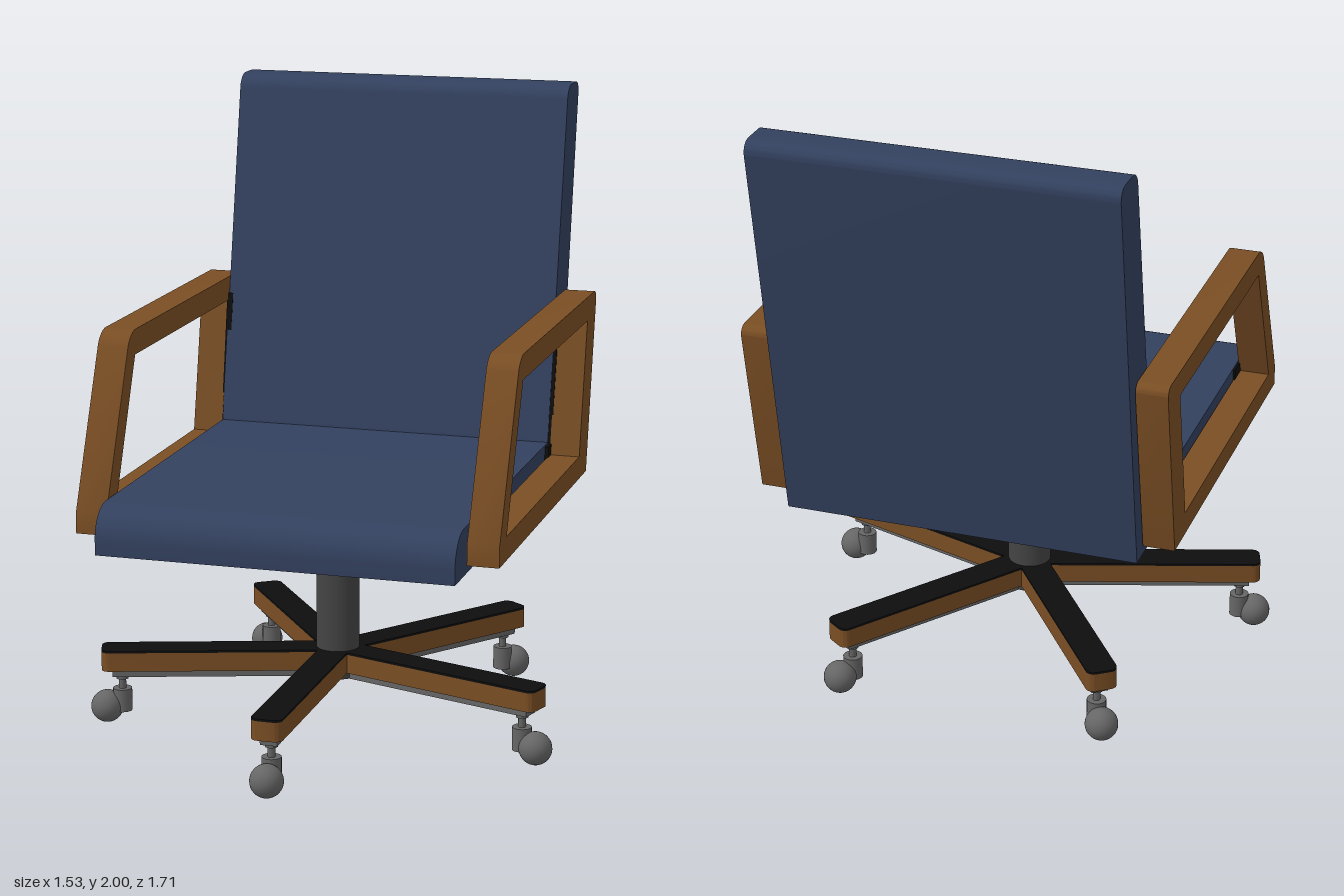
import * as THREE from 'three';
import { toCreasedNormals } from 'three/addons/utils/BufferGeometryUtils.js';

const mat = (name, color) => {
  const m = new THREE.MeshStandardMaterial({ color });
  m.name = name;
  return m;
};

// Closed outline from [u, v, cornerRadius] points
function outline(points, Type = THREE.Shape) {
  const shape = new Type();
  const v = points.map(([x, y]) => new THREE.Vector2(x, y));
  points.forEach(([x, y, r = 0], i) => {
    const toward = (q) => q.clone().sub(v[i]).setLength(r).add(v[i]);
    const a = toward(v[(i + v.length - 1) % v.length]);
    const b = toward(v[(i + 1) % v.length]);
    if (i === 0) shape.moveTo(a.x, a.y);
    else shape.lineTo(a.x, a.y);
    if (r > 0) {
      // Cubic handles give a near-circular corner
      const c1 = a.clone().lerp(v[i], 0.55), c2 = b.clone().lerp(v[i], 0.55);
      shape.bezierCurveTo(c1.x, c1.y, c2.x, c2.y, b.x, b.y);
    }
  });
  shape.closePath();
  return shape;
}

const extrude = (shape, depth) =>
  new THREE.ExtrudeGeometry(shape, { depth, bevelEnabled: false, curveSegments: 10 });

// Extrudes a (z, y) side profile across x, centred on x = 0
function sideProfile(shape, width) {
  const g = extrude(shape, width);
  g.translate(0, 0, -width / 2).rotateY(-Math.PI / 2);
  return toCreasedNormals(g, 0.6);
}

// Extrudes an (x, z) plan between two heights
function plan(shape, y0, y1) {
  const g = extrude(shape, y1 - y0);
  g.rotateX(Math.PI / 2).translate(0, y1, 0);
  return toCreasedNormals(g, 0.6);
}

export function createModel() {
  const blue = mat('blue upholstery', 0x33415f);
  const wood = mat('brown wood', 0x7a4e24);
  const black = mat('black', 0x0e0e0e);
  const darkGrey = mat('dark grey metal', 0x444444);
  const grey = mat('caster grey', 0x666666);

  const model = new THREE.Group();
  model.name = 'officeChair';
  const add = (parent, name, geometry, material, x = 0, y = 0, z = 0) => {
    const mesh = new THREE.Mesh(geometry, material);
    mesh.name = name;
    mesh.position.set(x, y, z);
    parent.add(mesh);
    return mesh;
  };

  // Seat and backrest in one bent cushion
  const cushion = outline([
    [0.738, 0.697], [0.738, 0.845, 0.1], [-0.47, 0.845],
    [-0.694, 2, 0.045], [-0.857, 2, 0.045], [-0.627, 0.697],
  ]);
  add(model, 'seatAndBack', sideProfile(cushion, 1.135), blue, -0.003);

  // Armrest frames with spacers against the cushion
  const frame = outline([
    [0.632, 0.73], [0.632, 0.795], [0.4, 1.325, 0.05], [-0.692, 1.325, 0.035], [-0.575, 0.73],
  ]);
  frame.holes.push(outline([
    [0.545, 0.805], [-0.465, 0.805], [-0.555, 1.245], [0.357, 1.245],
  ], THREE.Path));
  const frontSpacer = outline([[0.58, 0.76], [0.47, 0.76], [0.47, 0.84], [0.55, 0.84]]);
  const rearSpacer = outline([
    [-0.43, 0.76], [-0.56, 0.76], [-0.62, 1.27], [-0.55, 1.27], [-0.475, 0.84], [-0.43, 0.84],
  ]);
  for (const side of [1, -1]) {
    const arm = new THREE.Group();
    arm.name = side > 0 ? 'leftArmrest' : 'rightArmrest';
    add(arm, 'armFrame', sideProfile(frame, 0.1), wood, side * 0.623);
    add(arm, 'frontSpacer', sideProfile(frontSpacer, 0.02), black, side * 0.567);
    add(arm, 'rearSpacer', sideProfile(rearSpacer, 0.02), black, side * 0.567);
    model.add(arm);
  }

  // Pedestal and its tapered mounting plate
  const base = new THREE.Group();
  base.name = 'base';
  base.position.z = 0.06;
  model.add(base);
  let plate = new THREE.CylinderGeometry(Math.SQRT1_2, Math.SQRT1_2 * 0.66, 0.045, 4);
  plate = plate.rotateY(Math.PI / 4).scale(0.455, 1, 0.585).toNonIndexed();
  plate.computeVertexNormals();
  add(base, 'mountingPlate', plate, black, 0.008, 0.676, -0.015);
  add(base, 'gasLift', new THREE.CylinderGeometry(0.027, 0.027, 0.16, 24), black, 0, 0.585, 0);
  add(base, 'column', new THREE.CylinderGeometry(0.07, 0.07, 0.36, 32), darkGrey, 0, 0.34, 0);

  // Five legs, each with a caster
  const legPlan = outline([[-0.05, 0], [0.05, 0], [0.05, 0.765, 0.025], [-0.05, 0.765, 0.025]]);
  const legGeo = plan(legPlan, 0.185, 0.247);
  const capGeo = plan(legPlan, 0.247, 0.254);
  const railGeo = new THREE.BoxGeometry(0.055, 0.027, 0.73);
  const flangeGeo = new THREE.CylinderGeometry(0.02, 0.02, 0.012, 16);
  const stemGeo = new THREE.CylinderGeometry(0.012, 0.012, 0.07, 12);
  const housingGeo = new THREE.CylinderGeometry(0.031, 0.031, 0.075, 20);
  const ballGeo = new THREE.SphereGeometry(0.053, 28, 18);
  for (let i = 0; i < 5; i++) {
    const leg = new THREE.Group();
    leg.name = 'leg' + (i + 1);
    leg.rotation.y = (i * Math.PI * 2) / 5;
    add(leg, 'legBeam', legGeo, wood);
    add(leg, 'legTop', capGeo, black);
    add(leg, 'legRail', railGeo, grey, 0, 0.173, 0.365);
    add(leg, 'casterFlange', flangeGeo, grey, 0, 0.154, 0.7);
    add(leg, 'casterStem', stemGeo, grey, 0, 0.14, 0.7);
    add(leg, 'casterHousing', housingGeo, grey, 0, 0.078, 0.7);
    add(leg, 'casterBall', ballGeo, grey, 0, 0.054, 0.75);
    base.add(leg);
  }
  return model;
}
